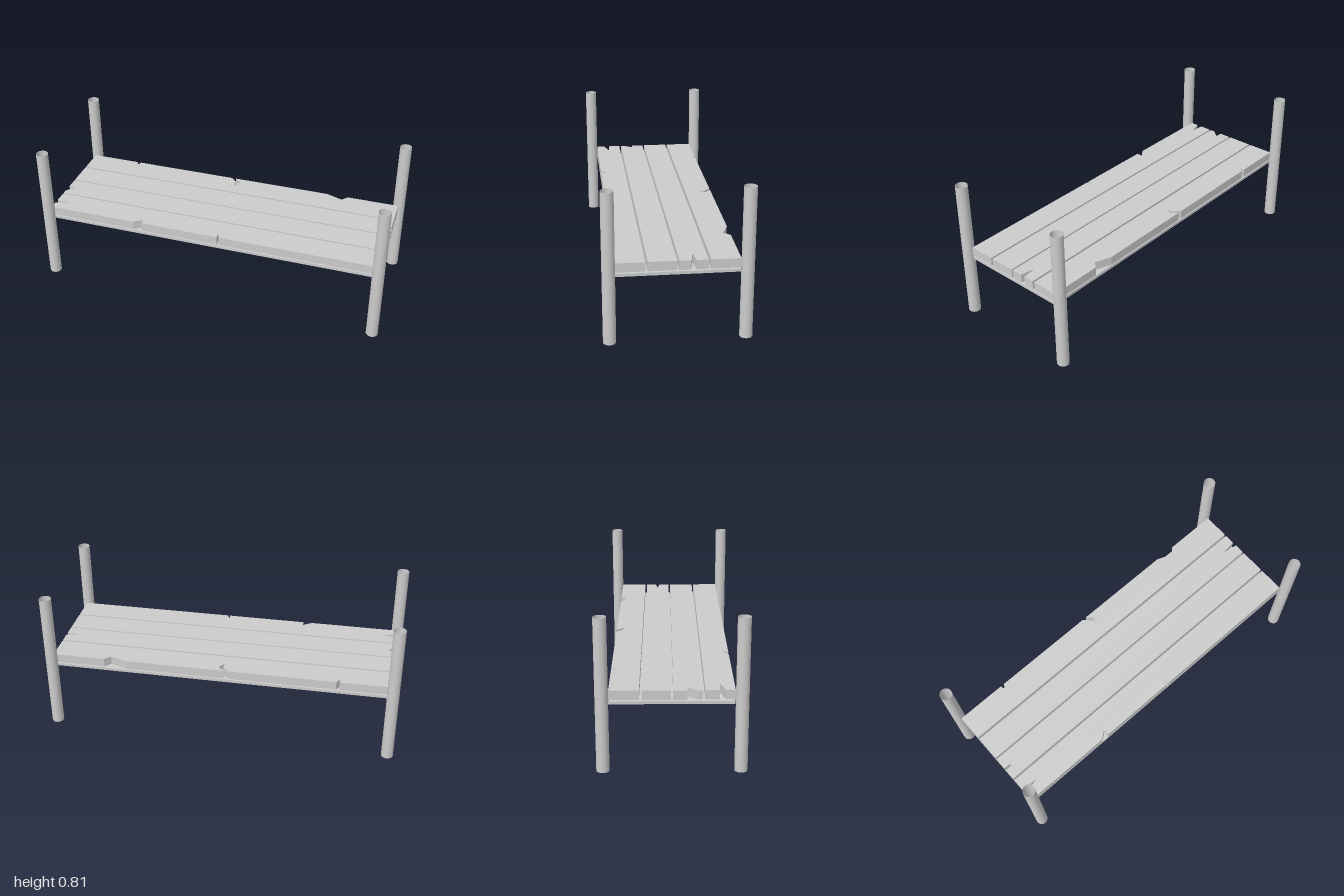
import * as THREE from 'three';

const material = new THREE.MeshStandardMaterial({ color: 0xcccccc });
const openMaterial = new THREE.MeshStandardMaterial({ color: 0xcccccc, side: THREE.DoubleSide });

const HALF_LENGTH = 0.965;

// Planks from back to front; each edge lists the [x, z] points of its splits,
// in order around the outline: back (+x), right (+z), front (-x), left (-z).
const PLANKS = [
  {
    z0: -0.313, z1: -0.162,
    back: [
      [-0.676, -0.313], [-0.671, -0.283], [-0.655, -0.313],
      [-0.056, -0.313], [-0.018, -0.278], [-0.018, -0.24], [0.008, -0.278], [-0.03, -0.313],
      [0.543, -0.313], [0.634, -0.278], [0.666, -0.313],
    ],
  },
  { z0: -0.15, z1: -0.004, right: [[HALF_LENGTH, -0.09], [0.88, -0.08], [HALF_LENGTH, -0.064]] },
  { z0: 0.006, z1: 0.153, left: [[-HALF_LENGTH, 0.128], [-0.922, 0.075], [-HALF_LENGTH, 0.075]] },
  {
    z0: 0.164, z1: 0.313,
    front: [
      [0.062, 0.313], [0.05, 0.278], [0.05, 0.313],
      [-0.403, 0.313], [-0.403, 0.278], [-0.452, 0.313],
    ],
    left: [[-HALF_LENGTH, 0.267], [-0.875, 0.24], [-HALF_LENGTH, 0.235]],
  },
];

// Flat board cut from an outline, with split edges
function plank({ z0, z1, back = [], right = [], front = [], left = [] }) {
  const outline = [
    [-HALF_LENGTH, z0], ...back,
    [HALF_LENGTH, z0], ...right,
    [HALF_LENGTH, z1], ...front,
    [-HALF_LENGTH, z1], ...left,
  ];
  const shape = new THREE.Shape(outline.map(([x, z]) => new THREE.Vector2(x, -z)));
  const geometry = new THREE.ExtrudeGeometry(shape, { depth: 0.05, bevelEnabled: false });
  geometry.rotateX(-Math.PI / 2);
  return new THREE.Mesh(geometry, material);
}

export function createModel() {
  const model = new THREE.Group();
  model.name = 'plankBed';

  // Four open tubular corner posts
  const postGeometry = new THREE.CylinderGeometry(0.0335, 0.0335, 0.808, 32, 1, true);
  for (const x of [-1, 1]) {
    for (const z of [-1, 1]) {
      const post = new THREE.Mesh(postGeometry, openMaterial);
      post.name = `${z > 0 ? 'front' : 'back'}${x > 0 ? 'Left' : 'Right'}Post`;
      post.position.set(x * 0.9665, 0.404, z * 0.347);
      model.add(post);
    }
  }

  // Thin board under the planks
  const base = new THREE.Mesh(new THREE.BoxGeometry(2 * HALF_LENGTH, 0.016, 0.626), material);
  base.name = 'baseBoard';
  base.position.y = 0.365;
  model.add(base);

  // Cracked planks
  PLANKS.forEach((data, i) => {
    const mesh = plank(data);
    mesh.name = `plank${i + 1}`;
    mesh.position.y = 0.38;
    model.add(mesh);
  });

  return model;
}
